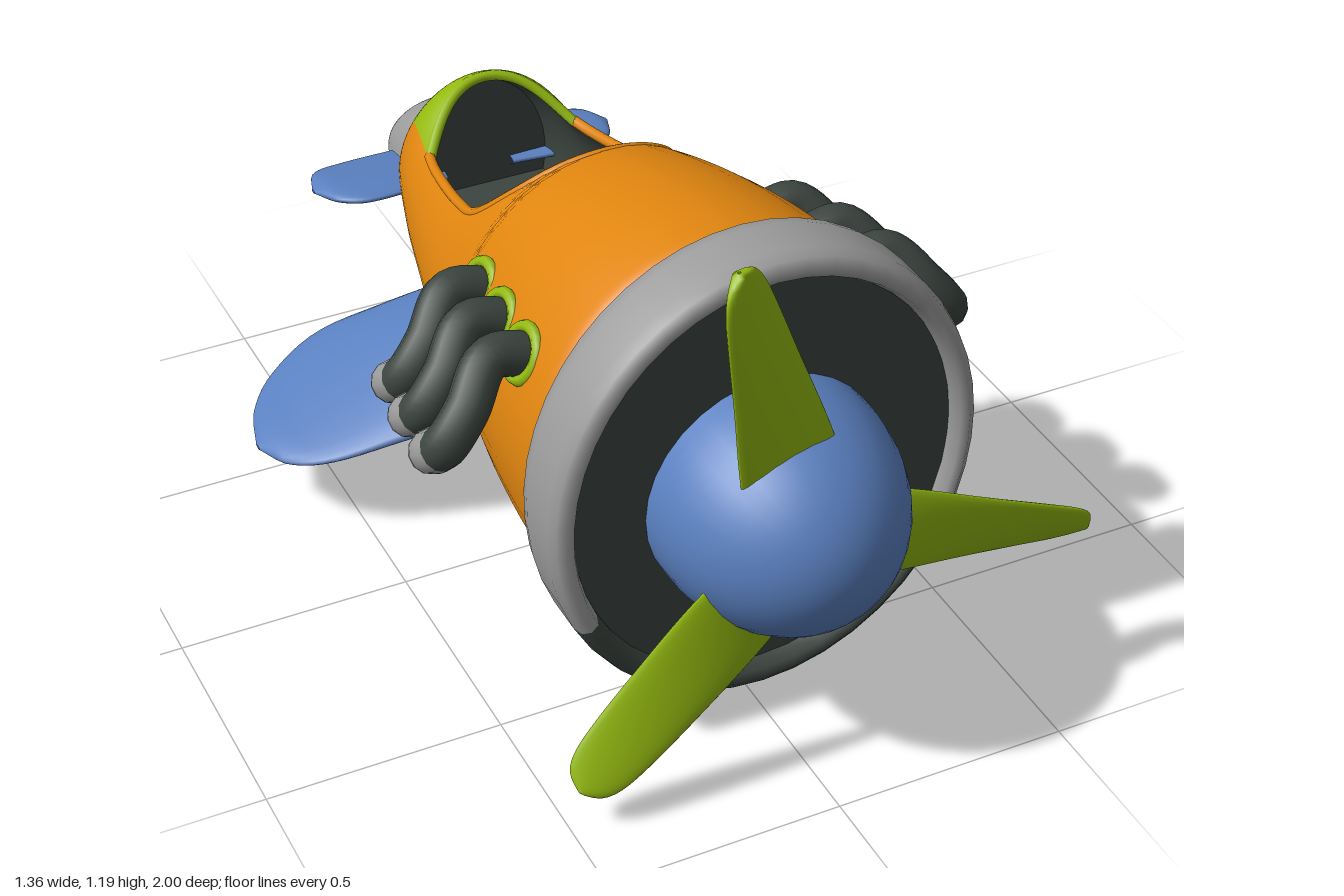
import * as THREE from 'three';
import { ParametricGeometry } from 'three/addons/geometries/ParametricGeometry.js';

const mat = (name, color, side = THREE.FrontSide) => {
  const m = new THREE.MeshStandardMaterial({ color, side });
  m.name = name;
  return m;
};

// smooth lookup in a table of [key, a, b, ...] rows with rising keys
function sample(table, k) {
  const n = table.length;
  k = Math.min(Math.max(k, table[0][0]), table[n - 1][0]);
  let i = 0;
  while (i < n - 2 && k > table[i + 1][0]) i++;
  const p = table[i], q = table[i + 1], h = q[0] - p[0], t = (k - p[0]) / h;
  const slope = (j, c) => {
    const a = table[Math.max(j - 1, 0)], b = table[Math.min(j + 1, n - 1)];
    return (b[c] - a[c]) / (b[0] - a[0]);
  };
  return p.slice(1).map((v, c) => {
    const m0 = slope(i, c + 1) * h, m1 = slope(i + 1, c + 1) * h, t2 = t * t, t3 = t2 * t;
    return (2 * t3 - 3 * t2 + 1) * v + (t3 - 2 * t2 + t) * m0 + (3 * t2 - 2 * t3) * q[c + 1] + (t3 - t2) * m1;
  });
}

// z, half width, bottom y, top y
const BODY = [[-0.87, 0.14, 0.3, 0.605], [-0.78, 0.175, 0.28, 0.71], [-0.69, 0.205, 0.262, 0.77],
  [-0.58, 0.235, 0.242, 0.755], [-0.3, 0.3, 0.18, 0.81], [-0.06, 0.345, 0.14, 0.92],
  [0.2, 0.395, 0.115, 0.995], [0.46, 0.42, 0.1, 1.035], [0.52, 0.405, 0.12, 1.015]];
const NOZZLE = [[-1, 0.1, 0.385, 0.53], [-0.985, 0.12, 0.36, 0.55], [-0.93, 0.135, 0.32, 0.583], [-0.855, 0.147, 0.29, 0.615]];
// z, height of the cockpit edge
const RIM = [[-0.87, 0.56], [-0.78, 0.63], [-0.69, 0.67], [-0.585, 0.66], [-0.5, 0.665], [-0.34, 0.695],
  [-0.22, 0.74], [-0.115, 0.84], [-0.06, 0.92]];

// point on an oval skin, angle measured from the top
function skin(table, z, a, inset = 0) {
  const [rx, lo, hi] = sample(table, z);
  return [(rx - inset) * Math.sin(a), (lo + hi) / 2 + ((hi - lo) / 2 - inset) * Math.cos(a), z];
}
function openAngle(z) {
  if (z >= -0.06) return 0;
  const [, lo, hi] = sample(BODY, z);
  return Math.acos(Math.min(1, (sample(RIM, z)[0] - (lo + hi) / 2) / ((hi - lo) / 2)));
}
const surface = (f, nu, nv) => new ParametricGeometry((u, v, t) => t.set(...f(u, v)), nu, nv);
const lerp = THREE.MathUtils.lerp;

export function createModel() {
  const orange = mat('orange paint', 0xe0850f);
  const blue = mat('blue paint', 0x5a80c0, THREE.DoubleSide);
  const green = mat('green paint', 0x94ba10, THREE.DoubleSide);
  const gray = mat('light metal', 0x9c9c9c);
  const dark = mat('dark metal', 0x3c4540, THREE.DoubleSide);

  const model = new THREE.Group();
  model.name = 'cartoonPlane';
  const add = (name, geo, material, x = 0, y = 0, z = 0) => {
    const m = new THREE.Mesh(geo, material);
    m.name = name;
    m.position.set(x, y, z);
    model.add(m);
    return m;
  };
  const disc = (name, rx, ry, y, z, material = dark) =>
    add(name, new THREE.CircleGeometry(1, 32).scale(rx, ry, 1), material, 0, y, z);

  // fuselage, open along the cockpit and headrest
  const shell = (z0, z1, inset) => (u, v) => {
    const z = lerp(z0, z1, v), o = openAngle(z);
    return skin(BODY, z, lerp(o, 2 * Math.PI - o, u), inset);
  };
  add('fuselage', surface(shell(0.52, -0.87, 0), 48, 100), orange);
  add('cockpitLining', surface(shell(0.05, -0.74, 0.02), 40, 60), dark);
  add('cockpitFloor', surface((u, v) => {
    const z = lerp(0.05, -0.74, v);
    return [(2 * u - 1) * (sample(BODY, z)[0] - 0.02), 0.45, z];
  }, 4, 24), dark);
  for (const z of [0.05, -0.74]) {
    const [rx, lo, hi] = sample(BODY, z);
    disc('cockpitBulkhead', rx - 0.015, (hi - lo) / 2 - 0.015, (hi + lo) / 2, z);
  }

  // arched headrest behind the seat
  const headrest = inset => (u, v) => {
    const k = 2 * u - 1, z = lerp(-0.69 + 0.105 * k * k, -0.87, v);
    return skin(BODY, z, k * openAngle(z), inset);
  };
  add('headrest', surface(headrest(0), 24, 16), green);
  add('headrestLining', surface(headrest(0.02), 24, 16), dark);

  // rounded edges of the cockpit opening
  const edge = (name, f, material) => {
    const pts = Array.from({ length: 41 }, (_, i) => new THREE.Vector3(...f(i / 40)));
    add(name, new THREE.TubeGeometry(new THREE.CatmullRomCurve3(pts), 80, 0.012, 8), material);
  };
  edge('cockpitRim', t => {
    const k = 2 * t - 1, z = -0.06 - 0.53 * k * k;
    return skin(BODY, z, Math.sign(k) * openAngle(z), 0.008);
  }, orange);
  edge('headrestRim', t => headrest(0.01)(t, 0), green);

  // tail nozzle: light on top and at the end, dark below
  const nozzle = (name, a0, a1, z0, z1, material) =>
    add(name, surface((u, v) => skin(NOZZLE, lerp(z0, z1, v), lerp(a0, a1, u)), 20, 12), material);
  const half = Math.PI / 2;
  nozzle('nozzleTop', -half, half, -0.855, -1, gray);
  nozzle('nozzleBottom', half, 3 * half, -0.855, -0.95, dark);
  nozzle('nozzleBottomEnd', half, 3 * half, -0.95, -1, gray);
  add('nozzleLip', new THREE.RingGeometry(0.78, 1, 32).rotateY(Math.PI).scale(0.1, 0.0725, 1), gray, 0, 0.4575, -1);
  add('nozzleBore', new THREE.CylinderGeometry(1, 1, 0.1, 32, 1, true).rotateX(half).scale(0.078, 0.057, 1), dark, 0, 0.4575, -0.949);
  disc('nozzleBoreEnd', 0.078, 0.057, 0.4575, -0.9);

  // engine cowl ring, its lower part dark
  const cowlProfile = [[0.88, 0.53], [0.95, 0.52], [0.985, 0.53], [1, 0.56], [1, 0.65], [0.985, 0.677],
    [0.95, 0.69], [0.91, 0.685], [0.89, 0.66], [0.88, 0.6]].map(p => new THREE.Vector2(...p));
  const cowl = (name, from, to, n, material) =>
    add(name, new THREE.LatheGeometry(cowlProfile, n, from, to - from).rotateX(half).scale(0.46, 0.51, 1), material, 0, 0.58, 0);
  cowl('cowlRing', 1.08, 2 * Math.PI - 1.08, 30, gray);
  cowl('cowlRingLower', -1.08, 1.08, 14, dark);
  disc('cowlFace', 0.41, 0.455, 0.58, 0.655);
  disc('cowlBack', 0.437, 0.485, 0.58, 0.518);

  // spinner and propeller
  add('spinner', new THREE.SphereGeometry(1, 32, 16, 0, 2 * Math.PI, 0, half).rotateX(half).scale(0.255, 0.255, 0.32), blue, 0, 0.555, 0.68);
  add('spinnerBase', new THREE.CylinderGeometry(0.255, 0.255, 0.04, 32, 1, true).rotateX(half), blue, 0, 0.555, 0.661);
  const BLADE = [[0.12, 0.1], [0.2, 0.104], [0.4, 0.086], [0.56, 0.07], [0.62, 0.057], [0.65, 0.036], [0.665, 0.003]];
  const blade = surface((u, v) => {
    const r = lerp(0.12, 0.665, Math.sin(v * half)), a = -2 * Math.PI * u;
    const twist = 0.55 * (r - 0.15) / 0.5, w = sample(BLADE, r)[0] * Math.cos(a);
    const h = Math.min(0.014, sample(BLADE, r)[0]) * Math.sin(a);
    return [w * Math.cos(twist) + h * Math.sin(twist), r, -w * Math.sin(twist) + h * Math.cos(twist)];
  }, 24, 24);
  for (const deg of [104, -16, 224])
    add('propellerBlade', blade, green, 0, 0.555, 0.83).rotation.z = THREE.MathUtils.degToRad(deg - 90);

  // belly scoop: z, half width, edge y, bottom y
  const SCOOP = [[-0.56, 0.1, 0.3, 0.243], [-0.4, 0.17, 0.27, 0.185], [-0.2, 0.22, 0.24, 0.105],
    [0.1, 0.275, 0.22, 0.03], [0.4, 0.29, 0.2, 0.008]];
  const scoop = (z0, z1, inset) => (u, v) => {
    const z = lerp(z0, z1, v), [w, top, low] = sample(SCOOP, z), a = Math.PI * u;
    return [(w - inset) * Math.cos(a), top - (top - low - inset) * Math.sin(a), z];
  };
  add('bellyScoop', surface(scoop(0.4, -0.56, 0), 24, 30), blue);
  add('scoopLining', surface(scoop(0.4, 0.3, 0.025), 24, 3), blue);
  add('scoopLip', surface((u, v) => scoop(0.4, 0.3, 0.025 * v)(u, 0), 24, 1), blue);
  add('scoopInside', surface((u, v) => {
    const p = scoop(0.34, 0.3, 0.02)(u, 0);
    return [p[0], lerp(p[1], 0.2, v), p[2]];
  }, 24, 1), dark);

  // wings and tail fins: x, front z, back z, middle y, half thickness
  const WING = [[0.12, -0.1, -0.57, 0.34, 0.06], [0.3, -0.12, -0.61, 0.29, 0.055], [0.45, -0.17, -0.645, 0.235, 0.04],
    [0.58, -0.225, -0.59, 0.19, 0.025], [0.65, -0.295, -0.5, 0.168, 0.018], [0.68, -0.38, -0.4, 0.16, 0.004]];
  const FIN = [[0.08, -0.72, -0.94, 0.48, 0.02], [0.27, -0.705, -0.94, 0.48, 0.02], [0.335, -0.745, -0.915, 0.48, 0.016],
    [0.365, -0.82, -0.835, 0.48, 0.004]];
  const paddle = (name, table, s, pitch) => {
    const x0 = table[0][0], x1 = table[table.length - 1][0];
    add(name, surface((u, v) => {
      const x = lerp(x0, x1, Math.sin(v * half)), a = -s * 2 * Math.PI * u;
      const [f, b, y, h] = sample(table, x), dz = (f - b) / 2 * Math.cos(a);
      return [s * x, y + h * Math.sin(a) + pitch * dz, (f + b) / 2 + dz];
    }, 28, 24), blue);
  };

  // exhaust pipes with green collars
  const exhaust = (s, z, y) => {
    const [rx, lo, hi] = sample(BODY, z), ry = (hi - lo) / 2, c = (y - (lo + hi) / 2) / ry;
    const x = rx * Math.sqrt(1 - c * c);
    const offsets = [[-0.03, -0.01, 0], [0.07, 0.008, 0], [0.14, -0.06, 0.05], [0.19, -0.125, 0.055], [0.2, -0.165, 0.01], [0.17, -0.2, -0.04]];
    const curve = new THREE.CatmullRomCurve3(offsets.map(o => new THREE.Vector3(s * (x + o[0]), y + o[1], z + o[2])));
    const pipe = new THREE.TubeGeometry(curve, 30, 0.045, 12);
    pipe.addGroup(0, 22 * 72, 0);
    pipe.addGroup(22 * 72, 8 * 72, 1);
    add('exhaustPipe', pipe, [dark, gray]);
    const facing = (mesh, dir) => mesh.quaternion.setFromUnitVectors(new THREE.Vector3(0, 0, 1), dir.normalize());
    facing(add('exhaustEnd', new THREE.CircleGeometry(0.045, 12), gray, ...curve.getPoint(1).toArray()), curve.getTangent(1));
    facing(add('exhaustCollar', new THREE.TorusGeometry(0.053, 0.013, 8, 20), green, s * x, y, z), new THREE.Vector3(s * Math.sqrt(1 - c * c) / rx, c / ry, 0));
  };

  for (const s of [1, -1]) {
    paddle(s > 0 ? 'leftWing' : 'rightWing', WING, s, 0.04);
    paddle(s > 0 ? 'leftTailFin' : 'rightTailFin', FIN, s, 0.17);
    exhaust(s, 0.335, 0.775);
    exhaust(s, 0.185, 0.757);
    exhaust(s, 0.03, 0.73);
  }
  return model;
}
